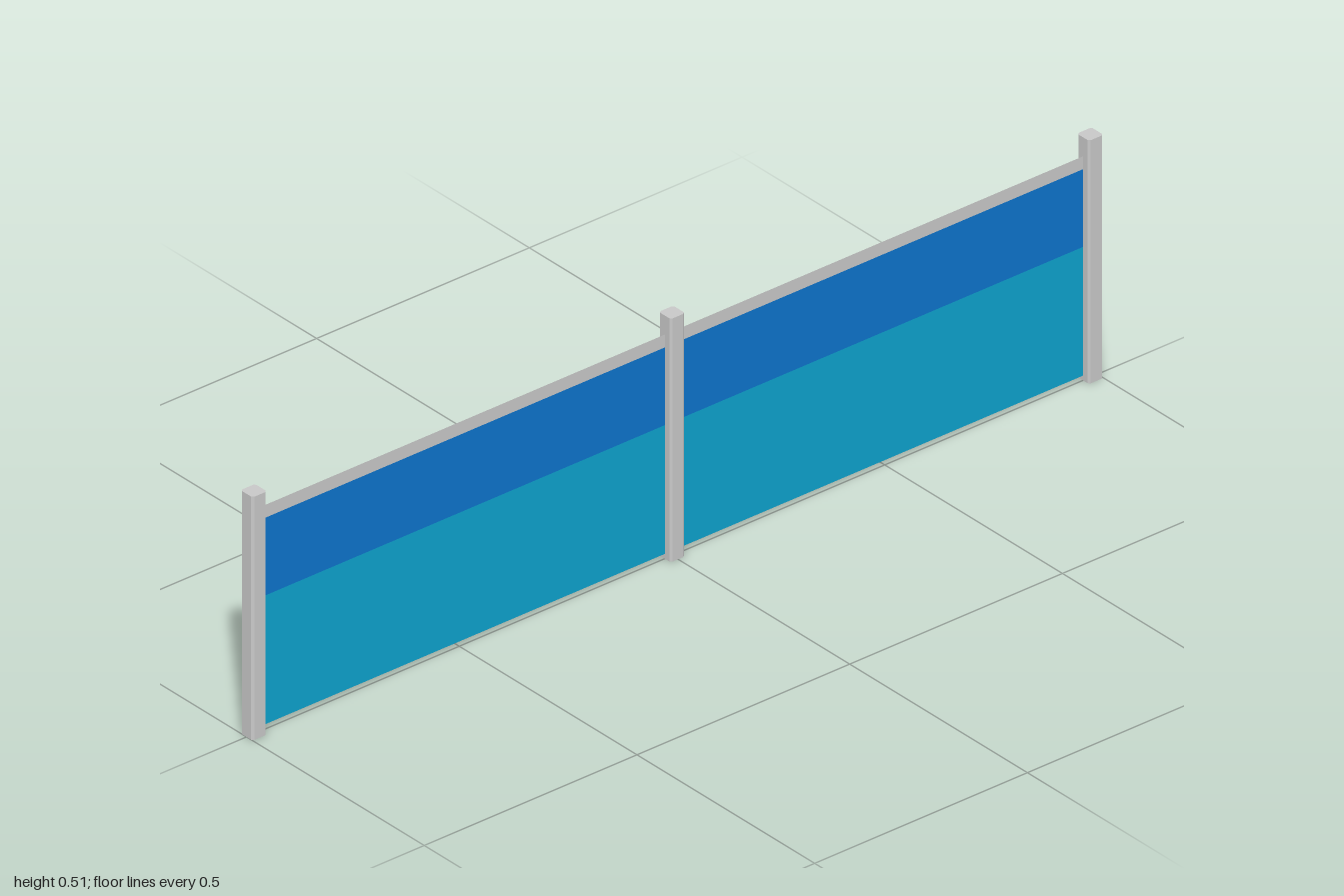
import * as THREE from 'three';

const HEIGHT = 0.51, HALF = 0.017, CHAMFER = 0.004, POST_X = 0.983;

function makeMaterial(name, color, side = THREE.FrontSide) {
  const m = new THREE.MeshStandardMaterial({ color, side });
  m.name = name;
  return m;
}

// Square post with chamfered vertical edges
function postGeometry() {
  const a = HALF, b = HALF - CHAMFER;
  const outline = [[a, -b], [a, b], [b, a], [-b, a], [-a, b], [-a, -b], [-b, -a], [b, -a]];
  const shape = new THREE.Shape(outline.map(([x, y]) => new THREE.Vector2(x, y)));
  return new THREE.ExtrudeGeometry(shape, { depth: HEIGHT, bevelEnabled: false }).rotateX(-Math.PI / 2);
}

export function createModel() {
  const group = new THREE.Group();
  group.name = 'fence';
  const metal = makeMaterial('postGrey', 0xc8c8c8);
  const sheetGrey = makeMaterial('railGrey', 0xc8c8c8, THREE.DoubleSide);
  const blue = makeMaterial('deepBlue', 0x0d74cc, THREE.DoubleSide);
  const cyan = makeMaterial('cyan', 0x0da2cd, THREE.DoubleSide);

  // Three posts
  const post = postGeometry();
  for (const [name, x] of [['rightPost', -POST_X], ['middlePost', 0], ['leftPost', POST_X]]) {
    const mesh = new THREE.Mesh(post, metal);
    mesh.name = name;
    mesh.position.x = x;
    group.add(mesh);
  }

  // Flat sheets stretched between the posts: name, bottom, top, material
  const bands = [
    ['LowerPanel', 0.01, 0.28, cyan],
    ['UpperPanel', 0.28, 0.443, blue],
    ['TopRail', 0.443, 0.47, sheetGrey],
  ];
  const width = POST_X - 2 * HALF + 0.004;
  for (const side of [-1, 1]) {
    for (const [name, y0, y1, material] of bands) {
      const mesh = new THREE.Mesh(new THREE.PlaneGeometry(width, y1 - y0), material);
      mesh.name = (side < 0 ? 'right' : 'left') + name;
      mesh.position.set(side * POST_X / 2, (y0 + y1) / 2, 0);
      group.add(mesh);
    }
  }
  return group;
}
